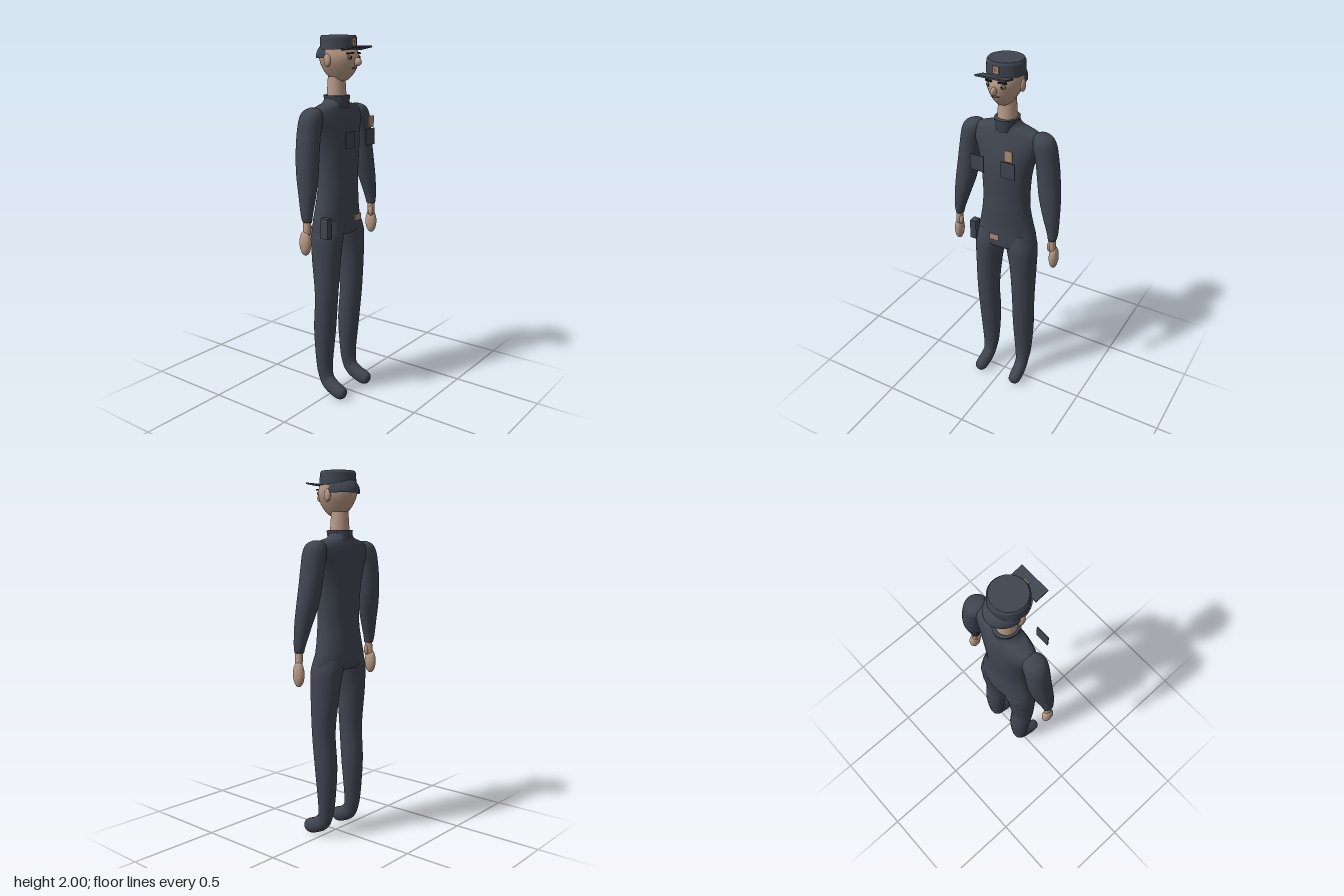
import * as THREE from 'three';

const mat = (name, color) => {
  const m = new THREE.MeshStandardMaterial({ color });
  m.name = name;
  return m;
};

// Smooth closed skin over elliptical rings [x, y, z, rx, rz, tilt], listed bottom to top
function loft(rings, sides = 32, steps = 5) {
  const cr = (a, b, c, d, t) =>
    0.5 * (2 * b + (c - a) * t + (2 * a - 5 * b + 4 * c - d) * t * t + (3 * b - a - 3 * c + d) * t ** 3);
  const at = i => rings[Math.min(Math.max(i, 0), rings.length - 1)];
  const pos = [], index = [];
  const rows = (rings.length - 1) * steps;
  let first, last;
  for (let r = 0; r <= rows; r++) {
    const i = Math.min(Math.floor(r / steps), rings.length - 2), t = r / steps - i;
    const [x, y, z, rx, rz, tilt] = [0, 1, 2, 3, 4, 5].map(k =>
      cr(...[-1, 0, 1, 2].map(o => at(i + o)[k] ?? 0), t));
    for (let s = 0; s < sides; s++) {
      const a = (s / sides) * Math.PI * 2, d = rz * Math.sin(a);
      pos.push(x + rx * Math.cos(a), y + d * Math.sin(tilt), z + d * Math.cos(tilt));
    }
    if (r === 0) first = [x, y, z];
    last = [x, y, z];
  }
  for (let r = 0; r < rows; r++) for (let s = 0; s < sides; s++) {
    const n = (s + 1) % sides, p = r * sides + s, q = r * sides + n;
    index.push(p, p + sides, q + sides, p, q + sides, q);
  }
  const bottom = pos.length / 3, top = bottom + 1, lastRow = rows * sides;
  pos.push(...first, ...last);
  for (let s = 0; s < sides; s++) {
    const n = (s + 1) % sides;
    index.push(bottom, s, n, top, lastRow + n, lastRow + s);
  }
  const g = new THREE.BufferGeometry();
  g.setAttribute('position', new THREE.Float32BufferAttribute(pos, 3));
  g.setIndex(index);
  g.computeVertexNormals();
  return g;
}

// Ring given by its front and back z
const ring = (x, y, rx, front, back) => [x, y, (front + back) / 2, rx, (front - back) / 2, 0];

export function createModel() {
  const model = new THREE.Group();
  const navy = mat('navy cloth', 0x3f4550);
  const skin = mat('skin', 0xb89a86);
  const brass = mat('brass', 0xa88a74);
  const dark = mat('dark hair', 0x1f1f22);
  const eyeTone = mat('eye', 0x75695e);
  const lip = mat('lip', 0x7a5a50);

  const add = (name, geo, material, x = 0, y = 0, z = 0, scale = [1, 1, 1]) => {
    const m = new THREE.Mesh(geo, material);
    m.name = name;
    m.position.set(x, y, z);
    m.scale.set(...scale);
    model.add(m);
    return m;
  };
  const ball = (name, material, x, y, z, rx, ry, rz) =>
    add(name, new THREE.SphereGeometry(1, 24, 16), material, x, y, z, [rx, ry, rz]);
  const box = (name, material, x, y, z, w, h, d) =>
    add(name, new THREE.BoxGeometry(w, h, d), material, x, y, z);

  // Torso
  add('torso', loft([
    ring(0, 0.945, 0.10, 0.04, -0.07),
    ring(0, 0.955, 0.172, 0.067, -0.108),
    ring(0, 1.01, 0.174, 0.07, -0.125),
    ring(0, 1.08, 0.157, 0.07, -0.121),
    ring(0, 1.18, 0.138, 0.074, -0.114),
    ring(0, 1.27, 0.135, 0.074, -0.115),
    ring(0, 1.40, 0.145, 0.077, -0.121),
    ring(0, 1.50, 0.172, 0.065, -0.12),
    ring(0, 1.57, 0.20, 0.048, -0.113),
    ring(0, 1.615, 0.195, 0.034, -0.103),
    ring(0, 1.638, 0.15, 0.028, -0.095),
    ring(0, 1.655, 0.085, 0.028, -0.094),
    ring(0, 1.69, 0.055, 0.03, -0.09),
  ], 48), navy);

  for (const s of [1, -1]) {
    const side = s > 0 ? 'left' : 'right';
    // Leg and foot in one skin, from toe to hip
    add(side + 'Leg', loft([
      [s * 0.118, 0.042, 0.121, 0.006, 0.006, 1.4],
      [s * 0.118, 0.041, 0.112, 0.026, 0.028, 1.4],
      [s * 0.118, 0.044, 0.085, 0.035, 0.041, 1.35],
      [s * 0.116, 0.057, 0.045, 0.037, 0.043, 1.15],
      [s * 0.114, 0.08, 0.006, 0.037, 0.045, 0.85],
      [s * 0.112, 0.115, -0.018, 0.038, 0.043, 0.4],
      [s * 0.112, 0.20, -0.03, 0.05, 0.045, 0],
      ring(s * 0.112, 0.40, 0.062, 0.035, -0.088),
      ring(s * 0.115, 0.60, 0.065, 0.052, -0.077),
      ring(s * 0.110, 0.80, 0.073, 0.065, -0.098),
      ring(s * 0.102, 0.90, 0.083, 0.069, -0.106),
      ring(s * 0.094, 0.96, 0.086, 0.068, -0.112),
      ring(s * 0.085, 1.04, 0.07, 0.05, -0.10),
    ]), navy);

    // Sleeve with rounded shoulder
    add(side + 'Arm', loft([
      [s * 0.290, 1.06, 0, 0.022, 0.027],
      [s * 0.289, 1.10, -0.003, 0.030, 0.033],
      [s * 0.272, 1.20, -0.012, 0.046, 0.047],
      [s * 0.254, 1.30, -0.025, 0.058, 0.058],
      [s * 0.240, 1.40, -0.034, 0.060, 0.063],
      [s * 0.226, 1.50, -0.037, 0.060, 0.064],
      [s * 0.208, 1.58, -0.036, 0.063, 0.062],
      [s * 0.198, 1.62, -0.035, 0.048, 0.048],
      [s * 0.190, 1.638, -0.034, 0.012, 0.02],
    ]), navy);

    // Wrist, hand and thumb
    add(side + 'Wrist', loft([
      [s * 0.297, 0.99, -0.002, 0.015, 0.022],
      [s * 0.293, 1.03, 0, 0.019, 0.022],
      [s * 0.290, 1.075, 0, 0.018, 0.022],
    ], 20, 3), skin);
    ball(side + 'Hand', skin, s * 0.301, 0.948, -0.005, 0.025, 0.068, 0.035);
    ball(side + 'Thumb', skin, s * 0.278, 1.015, 0.008, 0.012, 0.03, 0.014);

    // Ear, eye and brow
    ball(side + 'Ear', skin, s * 0.09, 1.873, -0.02, 0.012, 0.033, 0.021);
    ball(side + 'Eye', eyeTone, s * 0.037, 1.888, 0.085, 0.017, 0.012, 0.009);
    ball(side + 'Pupil', dark, s * 0.037, 1.888, 0.092, 0.006, 0.007, 0.004);
    const brow = box(side + 'Brow', dark, s * 0.038, 1.909, 0.09, 0.044, 0.008, 0.009);
    brow.rotation.set(0, s * 0.35, s * -0.08);

    // Chest pocket
    box(side + 'Pocket', navy, s * 0.09, 1.474, 0.126, 0.08, 0.087, 0.006);
  }

  // Collar and neck
  add('collar', new THREE.CylinderGeometry(0.064, 0.056, 0.065, 32), navy, 0, 1.66, -0.027, [1, 1, 1.17]);
  add('neck', new THREE.CylinderGeometry(0.046, 0.055, 0.14, 32), skin, 0, 1.72, -0.028);

  // Head
  add('head', loft([
    ring(0, 1.765, 0.015, 0.02, -0.04),
    ring(0, 1.778, 0.034, 0.048, -0.062),
    ring(0, 1.815, 0.060, 0.082, -0.10),
    ring(0, 1.86, 0.083, 0.098, -0.12),
    ring(0, 1.90, 0.090, 0.10, -0.125),
    ring(0, 1.95, 0.086, 0.075, -0.108),
  ]), skin);
  ball('nose', skin, 0, 1.866, 0.105, 0.014, 0.022, 0.027);
  ball('mouth', lip, 0, 1.834, 0.088, 0.022, 0.006, 0.008);

  // Covering at the back of the head, below the cap
  const back = add('backOfHead', new THREE.SphereGeometry(1, 32, 16, Math.PI, Math.PI, 0, Math.PI * 0.53),
    navy.clone(), 0, 1.892, -0.03, [0.094, 0.085, 0.113]);
  back.material = navy;
  navy.side = THREE.DoubleSide;

  // Cap with visor and badge
  add('capBody', new THREE.CylinderGeometry(0.096, 0.098, 0.06, 48), navy, 0, 1.957, -0.015);
  add('capTop', new THREE.CylinderGeometry(0.089, 0.096, 0.013, 48), navy, 0, 1.9935, -0.015);
  const visor = box('visor', navy, 0, 1.935, 0.103, 0.168, 0.008, 0.075);
  visor.rotation.x = -0.2;
  box('capBadge', brass, 0, 1.965, 0.084, 0.034, 0.036, 0.008);
  box('capBadgeCentre', eyeTone, 0, 1.965, 0.088, 0.012, 0.014, 0.004);

  // Chest badge, buckle and holster
  box('chestBadge', brass, 0.095, 1.555, 0.129, 0.045, 0.06, 0.006);
  box('beltBuckle', brass, 0, 1.047, 0.114, 0.056, 0.036, 0.007);
  box('holster', navy, -0.173, 1.005, 0.032, 0.036, 0.112, 0.045);

  return model;
}
